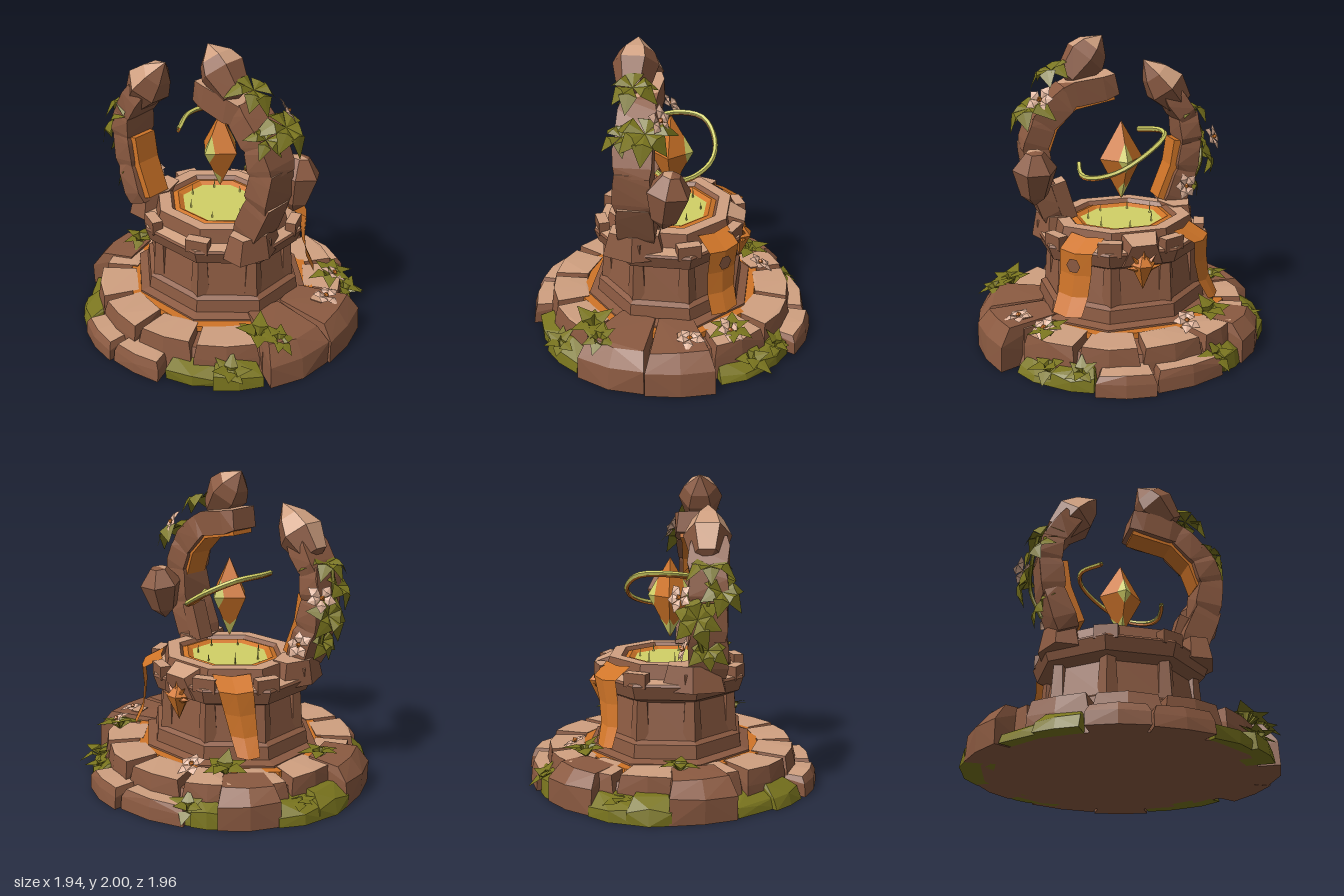
import * as THREE from 'three';
import { mergeGeometries } from 'three/addons/utils/BufferGeometryUtils.js';
import { ConvexGeometry } from 'three/addons/geometries/ConvexGeometry.js';

const V = (x, y, z) => new THREE.Vector3(x, y, z);
const mat = (name, color, side = THREE.FrontSide) => {
  const m = new THREE.MeshStandardMaterial({ color, side });
  m.name = name;
  return m;
};

export function createModel() {
  const model = new THREE.Group();
  const stone = mat('brownStone', 0x8b5a41);
  const tan = mat('tanStone', 0xd0a080);
  const orange = mat('orange', 0xd07528, THREE.DoubleSide);
  const lime = mat('lime', 0xd2d066, THREE.DoubleSide);
  const green = mat('oliveGreen', 0x7a751e, THREE.DoubleSide);
  const petal = mat('petal', 0xdeb299, THREE.DoubleSide);

  let seed = 7;
  const rnd = (a = 0, b = 1) => {
    seed = (seed * 16807) % 2147483647;
    return a + (b - a) * (seed / 2147483647);
  };

  const add = (name, geo, material, parent = model) => {
    const mesh = new THREE.Mesh(geo, material);
    mesh.name = name;
    parent.add(mesh);
    return mesh;
  };
  const flat = (geo) => {
    const g = geo.index ? geo.toNonIndexed() : geo;
    g.computeVertexNormals();
    return g;
  };
  // Faceted rock: faces that look up steeply enough become tan (2 = none)
  const rock = (name, geo, minUp = 0.7, parent = model) => {
    const p = flat(geo).attributes.position, sets = [[], []];
    const a = V(), b = V(), c = V(), n = V();
    for (let i = 0; i < p.count; i += 3) {
      a.fromBufferAttribute(p, i); b.fromBufferAttribute(p, i + 1); c.fromBufferAttribute(p, i + 2);
      n.copy(b).sub(a).cross(V().copy(c).sub(a));
      if (n.length() < 1e-9) continue;
      sets[n.normalize().y > minUp ? 1 : 0].push(...a, ...b, ...c);
    }
    const g = new THREE.BufferGeometry();
    g.setAttribute('position', new THREE.Float32BufferAttribute([...sets[0], ...sets[1]], 3));
    g.addGroup(0, sets[0].length / 3, 0);
    g.addGroup(sets[0].length / 3, sets[1].length / 3, 1);
    g.computeVertexNormals();
    return add(name, g, [stone, tan], parent);
  };
  const lathe = (pts, n, start = 0) =>
    new THREE.LatheGeometry(pts.map(([r, y]) => new THREE.Vector2(r, y)), n, start);
  // Eight-sided ring, measured across its flats, slightly longer in z
  const octagon = (pts) => lathe(pts.map(([r, y]) => [r * 1.082, y]), 8, Math.PI / 8).scale(1, 1, 1.12);

  // Wedge stone of a ring: angles in degrees, 0 = +x, 90 = +z
  const wedge = (a0, a1, r0, r1, h, j = 0.015, slope = 0.06) => {
    const pts = [];
    for (let i = 0; i <= 2; i++) {
      for (const [inset, y, r] of [[0, 0, r1], [0, h * 0.6, r1 - 0.01], [1.2, h, r1 - slope], [0, 0, r0], [1, h, r0]]) {
        const a = THREE.MathUtils.degToRad(a0 + (a1 - a0) * i / 2 + (1 - i) * inset);
        const rr = r + (r === r0 ? 0 : rnd(-j, 0) + (i === 1 ? 0.005 : 0));
        pts.push(V(Math.cos(a) * rr, y ? y + rnd(-j, j) * 0.6 : 0, Math.sin(a) * rr));
      }
    }
    return new ConvexGeometry(pts);
  };

  // Base: solid core, upper ring, low outer steps, boulders and moss banks
  add('baseCore', flat(new THREE.CylinderGeometry(0.78, 0.86, 0.18, 16).translate(0, 0.09, 0)), stone);
  const ring = [-22, 8, 36, 64, 92, 120, 150, 178, 206, 234, 262, 290, 314, 338];
  for (let i = 0; i < ring.length - 1; i++) {
    rock('upperStep', wedge(ring[i] + 0.8, ring[i + 1] - 0.8, 0.59, rnd(0.83, 0.86), 0.24, 0.012, 0.025));
  }
  for (const [a0, a1, r] of [[-26, 3, 0.94], [4, 26, 0.98], [162, 184, 0.96], [185, 206, 0.985]]) {
    rock('lowerStep', wedge(a0, a1, 0.6, r, 0.13, 0.012, 0.03));
  }
  for (const [a0, a1, r0, r, h] of [[92, 119, 0.54, 0.99, 0.265], [66, 91.6, 0.54, 1.0, 0.265],
    [242, 267, 0.66, 0.97, 0.25], [297, 321, 0.66, 0.95, 0.25]]) {
    rock('boulder', wedge(a0, a1, r0, r, h, 0.02, 0.09), 2);
  }
  rock('boulderChip', wedge(70, 80, 0.7, 0.84, 0.275, 0.01));
  for (const [a0, a1, r, h] of [[27, 62, 0.96, 0.13], [121, 160, 0.96, 0.13], [208, 241, 0.97, 0.13],
    [266, 298, 1.0, 0.14], [319, 344, 0.93, 0.14]]) {
    const m = (a0 + a1) / 2;
    add('mossBank', flat(wedge(a0, m, 0.78, r, h, 0.04, 0.1)), green);
    add('mossBank', flat(wedge(m - 3, a1, 0.78, r - 0.02, h * 0.8, 0.04, 0.12)), green);
  }

  // Pedestal
  add('orangeBand', flat(octagon([[0.585, 0.2], [0.58, 0.238], [0.525, 0.238], [0.525, 0.22]])), orange);
  rock('plinth', octagon([[0.53, 0.2], [0.525, 0.25], [0.47, 0.265], [0.46, 0.35], [0.43, 0.37]]), 2);
  rock('column', octagon([[0.43, 0.34], [0.38, 0.64]]));
  rock('capital', octagon([[0.37, 0.59], [0.455, 0.635], [0.482, 0.72], [0.475, 0.735], [0.405, 0.75], [0.385, 0.84], [0.31, 0.84], [0.29, 0.815]]), 0.8);
  add('poolRing', flat(octagon([[0.3, 0.812], [0.26, 0.826], [0.215, 0.8]])), orange);
  add('pool', flat(octagon([[0.228, 0.808], [0, 0.808]])), lime);
  for (const s of [1, -1]) {
    rock('archFooting', new THREE.CylinderGeometry(0.15, 0.19, 0.16, 6).scale(1.2, 1, 0.75).translate(-0.17, 0.768, s * 0.43), 0.8);
  }
  for (let i = 0; i < 8; i++) {
    const a = (i + 0.5) * Math.PI / 4;
    const geo = new THREE.CylinderGeometry(0.05, 0.07, 0.28, 5).rotateY(a)
      .translate(Math.sin(a) * 0.41, 0.49, Math.cos(a) * 0.46);
    rock('pilaster', geo);
    const block = new THREE.BoxGeometry(0.15, 0.09, 0.07).rotateY(a)
      .translate(Math.sin(a) * 0.465, 0.755, Math.cos(a) * 0.525);
    rock('capitalBlock', block, 0.8);
  }
  for (let i = 0; i < 7; i++) {
    const a = i * 0.9, h = rnd(0.05, 0.1);
    add('grassBlade', flat(new THREE.ConeGeometry(0.008, h, 3).translate(Math.cos(a) * 0.2, 0.8 + h / 2, Math.sin(a) * 0.22)), lime);
  }

  // Cloth banners folded over two corners, drifting sideways as they fall
  const banner = (turn, drift, taper) => {
    const g = new THREE.PlaneGeometry(0.24, 1, 2, 4), p = g.attributes.position;
    const prof = [[0.44, 0.82], [0.57, 0.75], [0.56, 0.6], [0.575, 0.46], [0.63, 0.34]];
    for (let i = 0; i < p.count; i++) {
      const row = Math.floor(i / 3), [r, y] = prof[row], mid = i % 3 === 1;
      p.setXYZ(i, p.getX(i) * (1 - taper * row) + drift * row, y - (mid ? 0.012 : 0), r + (mid ? 0.015 : 0));
    }
    add('banner', flat(g.rotateY(turn)), orange);
  };
  banner(Math.PI / 4, -0.012, 0.03);
  banner(Math.PI * 3 / 4, 0.025, 0.1);
  add('bannerPatch', flat(new THREE.CircleGeometry(0.05, 6).translate(-0.02, 0.66, 0.592).rotateY(Math.PI / 4)), stone);

  // Hooded side gem
  rock('gemHood', new ConvexGeometry([V(0.36, 0.84, -0.12), V(0.36, 0.84, 0.12), V(0.5, 0.78, -0.08), V(0.5, 0.78, 0.08),
    V(0.36, 0.6, -0.17), V(0.36, 0.6, 0.17), V(0.47, 0.64, -0.13), V(0.47, 0.64, 0.13)]), 0.8);
  add('sideGem', flat(lathe([[0, 0.48], [0.08, 0.65], [0, 0.73]], 6).translate(0.47, 0, 0)), orange);
  for (let i = 0; i < 5; i++) {
    const spike = new THREE.ConeGeometry(0.03, 0.11, 4).translate(0, 0.07, 0).rotateX((i - 2) * 0.7);
    add('sideGemSpike', flat(spike.translate(0.49, 0.62, 0)), orange);
  }

  // Broken arches: rock blocks along a [z, y] path with an orange inner lining
  const arch = (name, x, path, width, thick, s, lined, liner) => {
    const group = new THREE.Group();
    group.name = name;
    model.add(group);
    for (let i = 0; i < path.length - 1; i++) {
      const [z0, y0] = path[i], [z1, y1] = path[i + 1];
      const len = Math.hypot(z1 - z0, y1 - y0), dz = (z1 - z0) / len, dy = (y1 - y0) / len;
      const at = (d, u, v) => V(x + v, y0 + dy * d + s * dz * u, z0 + dz * d - s * dy * u);
      const hull = (sections, u0, u1, w, j) => {
        const pts = [];
        for (const [d, k] of sections) for (const u of [u0, u1]) for (const v of [-w, w]) {
          pts.push(at(d, u * k + rnd(-j, j), v * k + rnd(-j, j)));
        }
        return new ConvexGeometry(pts);
      };
      const t = thick * (1 - i * 0.03) / 2;
      rock('archBlock', hull([[-0.03, 0.86], [len * 0.2, 1], [len * 0.8, 1], [len + 0.03, 0.86]], -t, t, width / 2, 0.008), 0.92, group);
      if (lined.includes(i)) add('archLining', flat(hull([[0, 1], [len, 1]], t - 0.02, t + liner, width * 0.36, 0)), orange, group);
    }
  };
  arch('frontArch', -0.15, [[0.42, 0.82], [0.53, 1.08], [0.56, 1.3], [0.5, 1.47], [0.34, 1.63], [0.04, 1.69]], 0.24, 0.18, 1, [2, 3, 4], 0.018);
  arch('backArch', -0.26, [[-0.43, 0.82], [-0.52, 1.05], [-0.55, 1.25], [-0.53, 1.42], [-0.42, 1.58]], 0.24, 0.15, -1, [0, 1], 0.045);
  rock('frontArchHead', lathe([[0, -0.18], [0.1, -0.15], [0.145, 0.02], [0.11, 0.1], [0, 0.2]], 6, Math.PI / 6).rotateX(-0.7).translate(-0.19, 1.847, 0.2), 0.75);
  rock('backArchHead', lathe([[0, -0.21], [0.1, -0.16], [0.15, 0], [0.1, 0.12], [0, 0.24]], 6, Math.PI / 6).rotateX(0.7).translate(-0.25, 1.635, -0.385), 0.4);
  rock('archBoulder', lathe([[0, -0.2], [0.09, -0.12], [0.145, 0.06], [0.06, 0.17], [0, 0.18]], 6).rotateZ(-0.15).translate(0.06, 1.15, 0.59), 0.97);
  rock('archFoot', new THREE.BoxGeometry(0.12, 0.26, 0.1).rotateX(0.3).translate(-0.08, 0.95, 0.38), 0.6);

  // Floating crystal with glowing diamonds folded over its edges
  add('crystal', flat(lathe([[0, 0.94], [0.145, 1.22], [0, 1.47]], 4)), orange);
  const glow = (turn, t0, t1, t2, spread) => {
    // t runs along an edge: 1 = top tip, 0 = waist, -1 = bottom tip
    const at = (t, k) => {
      const r = 0.148 * (1 - Math.abs(t));
      return [r * (1 - Math.abs(k)), 1.22 + t * (t > 0 ? 0.255 : 0.285), r * k];
    };
    const top = at(t0, 0), mid = at(t1, 0), low = at(t2, 0), l = at(t1, -spread), r = at(t1, spread);
    const g = new THREE.BufferGeometry();
    g.setAttribute('position', new THREE.Float32BufferAttribute([mid, top, l, mid, r, top, mid, l, low, mid, low, r].flat(), 3));
    g.computeVertexNormals();
    add('crystalGlow', g.rotateY(turn), lime);
  };
  for (const turn of [0, Math.PI]) glow(turn, 0.45, 0, -0.28, 0.32);
  for (const turn of [0, Math.PI / 2, Math.PI]) glow(turn, -0.52, -0.72, -0.96, 0.6);

  // Ribbon curling round the crystal
  const curl = new THREE.CatmullRomCurve3([V(-0.2, 1.36, -0.18), V(0, 1.39, -0.27), V(0.18, 1.38, -0.23), V(0.28, 1.29, -0.06),
    V(0.27, 1.2, 0.1), V(0.15, 1.14, 0.24), V(0.02, 1.14, 0.28), V(-0.06, 1.19, 0.27)]);
  add('ribbon', flat(new THREE.TubeGeometry(curl, 24, 0.016, 5)), lime);
  add('ribbonUnderside', flat(new THREE.TubeGeometry(curl, 24, 0.012, 4).translate(-0.005, -0.012, 0)), orange);

  // Folded blade used for leaves and petals, growing along +z
  const blade = (len, w, droop) => {
    const g = new THREE.BufferGeometry();
    const b = [0, 0, 0], m = [0, 0.16 * len, len * 0.5], t = [0, -droop * len, len];
    const l = [-w, 0.08 * len, len * 0.55], r = [w, 0.08 * len, len * 0.55];
    g.setAttribute('position', new THREE.Float32BufferAttribute([b, m, l, b, r, m, l, m, t, m, r, t].flat(), 3));
    g.computeVertexNormals();
    return g;
  };
  const rosette = (n, len, w, droop, lift) => mergeGeometries(Array.from({ length: n }, (_, i) =>
    blade(len * rnd(0.85, 1.1), w, droop).rotateX(-lift * rnd(0.6, 1.3)).rotateY(i * Math.PI * 2 / n + rnd(-0.2, 0.2))));
  const place = (mesh, pos, dir) => {
    mesh.position.set(...pos);
    mesh.quaternion.setFromUnitVectors(V(0, 1, 0), V(...dir).normalize());
  };

  // Leaf tufts: position, facing, leaf length, lift of the leaves
  for (const [pos, dir, len, lift] of [
    [[-0.4, 0.24, 0.68], [0, 1, 0.2], 0.17, 0.95], [[-0.34, 0.24, 0.8], [0, 1, 0.3], 0.12, 0.7], [[0.47, 0.24, 0.6], [0, 1, 0], 0.15, 0.85],
    [[0.5, 0.24, -0.44], [0.2, 1, 0], 0.17, 0.95], [[-0.1, 0.24, -0.7], [0, 1, 0], 0.13, 0.8],
    [[-0.62, 0.06, 0.64], [-0.2, 1, 0.3], 0.14, 0.9], [[0.6, 0.06, 0.64], [0.2, 1, 0.3], 0.14, 0.9], [[0.73, 0.07, 0.47], [0.4, 1, 0.2], 0.12, 0.9],
    [[0.76, 0.07, -0.38], [0.4, 1, -0.2], 0.13, 0.9], [[0.25, 0.06, -0.82], [0, 1, -0.2], 0.13, 0.9],
    [[-0.17, 1.79, 0.42], [0, 1, 0.4], 0.18, 0], [[-0.07, 1.57, 0.59], [0.1, 0.9, 0.5], 0.2, -0.05], [[-0.22, 1.53, 0.56], [-0.1, 0.9, 0.5], 0.13, 0.1],
    [[-0.27, 1.47, -0.58], [0, 1, -0.3], 0.16, 0], [[-0.34, 1.32, -0.62], [-0.3, 0.7, -0.8], 0.16, 0.2],
    [[-0.2, 1.16, -0.66], [0.2, 0.4, -1], 0.17, 0.2], [[-0.26, 0.96, -0.57], [0, 0.6, -1], 0.14, 0.2]]) {
    place(add('leafTuft', rosette(6, len, len * 0.32, 0.4, lift), green), pos, dir);
  }

  // Hanging vine on the back arch
  const vine = new THREE.CatmullRomCurve3([V(-0.28, 1.45, -0.62), V(-0.26, 1.25, -0.65), V(-0.2, 1.1, -0.64), V(-0.24, 0.9, -0.57)]);
  add('vine', flat(new THREE.TubeGeometry(vine, 14, 0.013, 5)), green);

  // Flowers with orange hearts
  for (const [pos, dir] of [
    [[0, 1.63, 0.53], [0.8, 0.5, 0.5]], [[-0.1, 1.29, -0.68], [0.6, 0.4, -0.7]], [[-0.12, 0.95, -0.5], [1, 0.3, -0.2]],
    [[0.46, 0.29, 0.64], [0.3, 1, 0.3]], [[0.22, 0.28, 0.75], [0, 1, 0.2]], [[0.6, 0.28, -0.25], [0.5, 1, 0]]]) {
    const flower = new THREE.Group();
    flower.name = 'flower';
    add('petals', rosette(5, 0.1, 0.034, 0.05, 0.15), petal, flower);
    add('flowerHeart', flat(new THREE.OctahedronGeometry(0.02).translate(0, 0.018, 0)), orange, flower);
    place(flower, pos, dir);
    model.add(flower);
  }
  return model;
}
